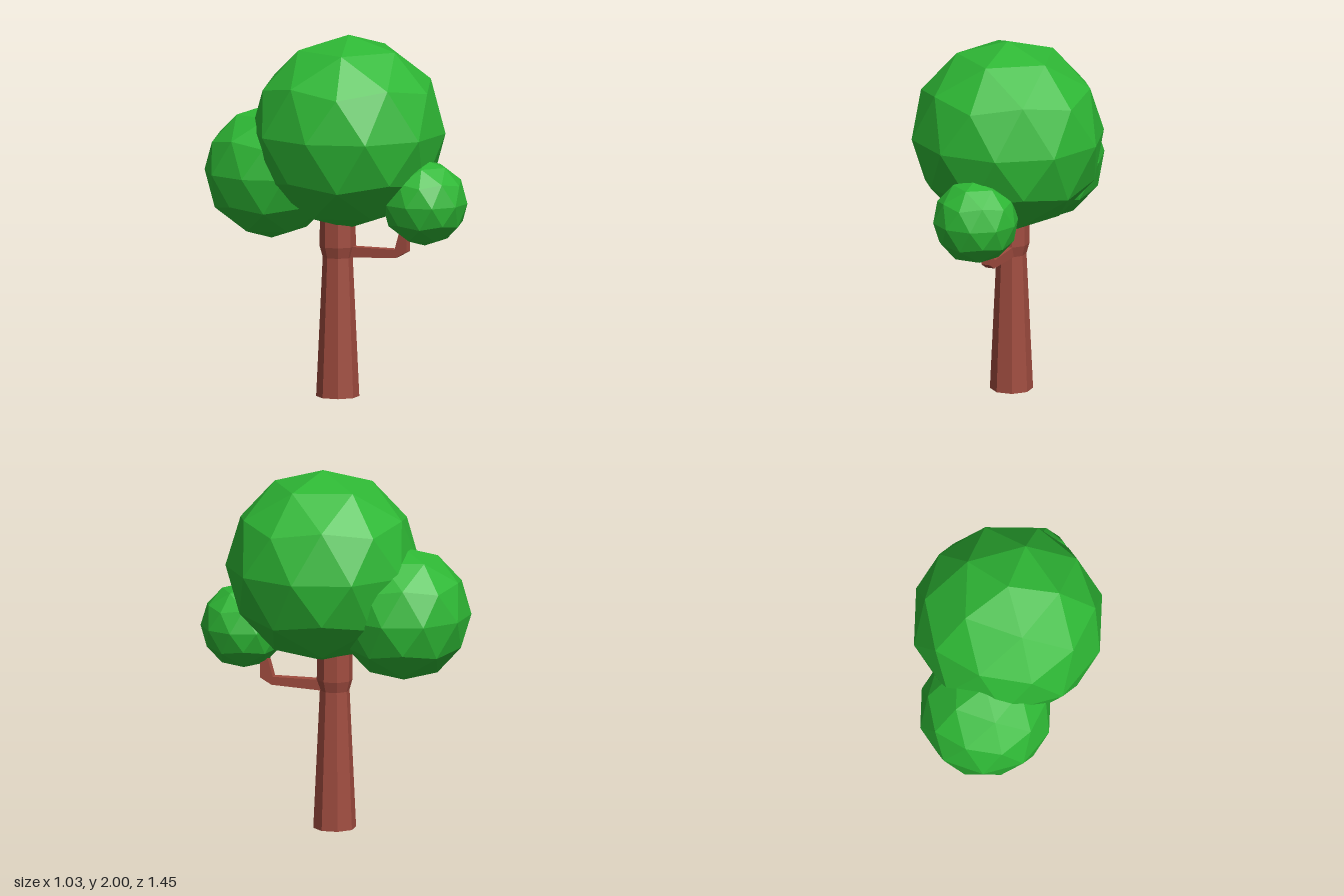
import * as THREE from 'three';

const bark = new THREE.MeshStandardMaterial({ color: 0xa04c3f, flatShading: true });
const leaf = new THREE.MeshStandardMaterial({ color: 0x2eb835, flatShading: true });

// Icosphere with a corner pointing straight up and an upper-ring corner towards +x
function foliage(name, radius, x, y, z) {
  const geometry = new THREE.IcosahedronGeometry(radius, 1);
  geometry.rotateZ(-Math.atan(2 / (1 + Math.sqrt(5))));
  const mesh = new THREE.Mesh(geometry, leaf);
  mesh.name = name;
  mesh.position.set(x, y, z);
  return mesh;
}

// Tapered octagonal trunk that flares under the crown
function trunk() {
  const profile = [[0, 0], [0.118, 0], [0.082, 0.77], [0.099, 0.83], [0.097, 1.04], [0, 1.04]];
  const geometry = new THREE.LatheGeometry(profile.map(([r, y]) => new THREE.Vector2(r, y)), 8);
  const mesh = new THREE.Mesh(geometry, bark);
  mesh.name = 'trunk';
  mesh.position.set(-0.022, 0, 0.007);
  return mesh;
}

// Side branch that bends up into the small foliage
function branch() {
  const outline = [
    [0, 0.77], [0.295, 0.785], [0.36, 0.822], [0.358, 0.96],
    [0.325, 0.96], [0.288, 0.83], [0, 0.83],
  ];
  const shape = new THREE.Shape(outline.map(([u, y]) => new THREE.Vector2(u, y)));
  const geometry = new THREE.ExtrudeGeometry(shape, { depth: 0.05, bevelEnabled: false });
  geometry.translate(0, 0, -0.025);
  const mesh = new THREE.Mesh(geometry, bark);
  mesh.name = 'branch';
  mesh.position.set(0.012, 0, 0.05);
  mesh.rotation.y = -1.2;
  return mesh;
}

export function createModel() {
  const tree = new THREE.Group();
  tree.name = 'tree';
  tree.add(
    trunk(),
    branch(),
    foliage('mainFoliage', 0.534, 0.005, 1.466, 0.065),
    foliage('rearFoliage', 0.37, -0.168, 1.222, -0.355),
    foliage('frontFoliage', 0.236, 0.165, 1.1, 0.488),
  );
  return tree;
}
